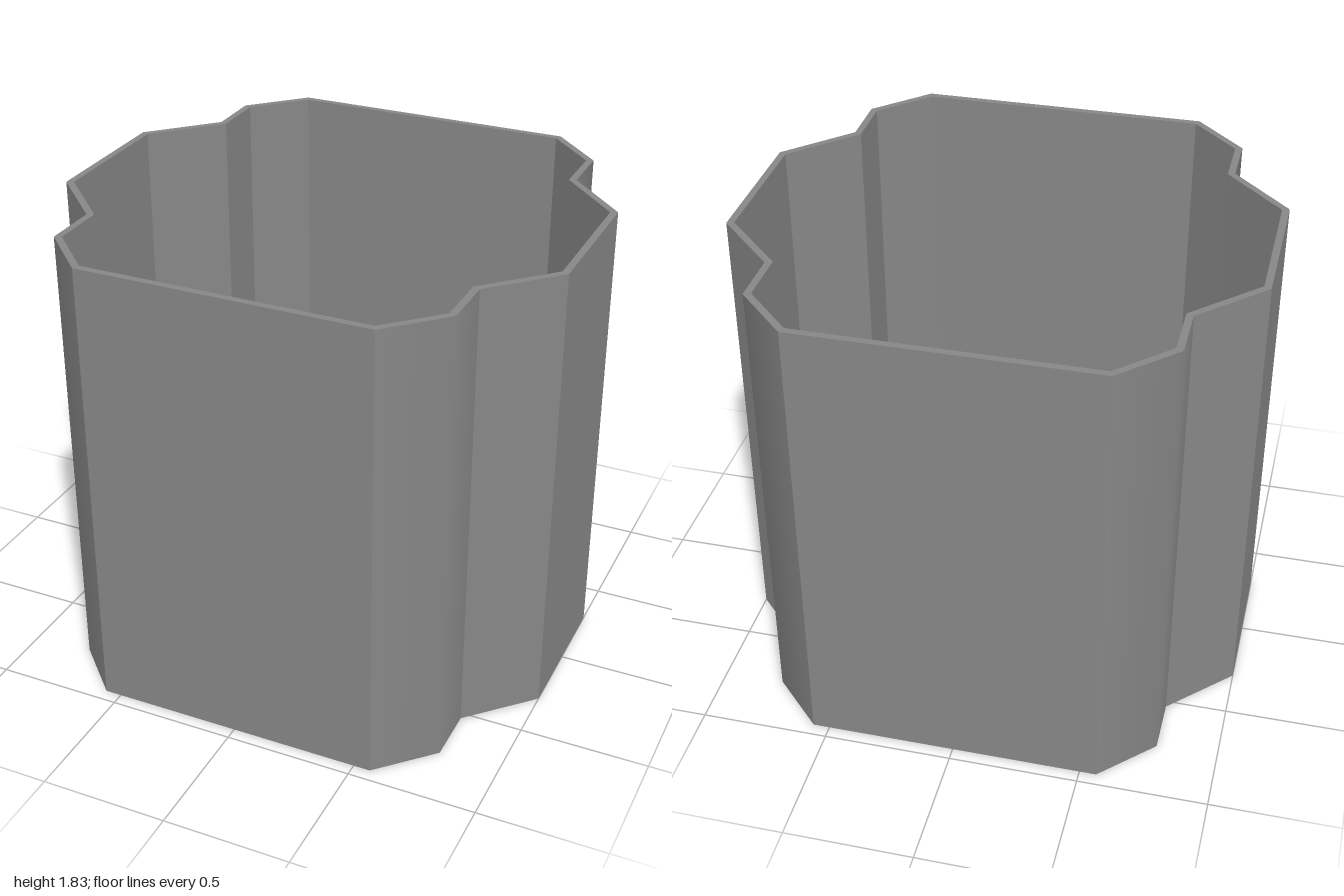
import * as THREE from 'three';

const HEIGHT = 1.83;

// One quarter of each outline as [x, z], from the front wall round to the side wall
const OUTER = [[0.565, 0.95], [0.765, 0.75], [0.765, 0.53], [1, 0.292]];
const INNER = [[0.554, 0.923], [0.738, 0.739], [0.738, 0.519], [0.973, 0.281]];

// Mirror a quarter into a full closed outline, clockwise
function outline(quarter) {
  const half = [...quarter, ...quarter.map(([x, z]) => [x, -z]).reverse()];
  const full = [...half, ...half.map(([x, z]) => [-x, z]).reverse()];
  return full.map(([x, z]) => new THREE.Vector2(x, z));
}

export function createModel() {
  const group = new THREE.Group();
  group.name = 'openSleeve';
  const grey = new THREE.MeshStandardMaterial({ color: 0x878787 });
  grey.name = 'grey';

  // Thin wall, open at the top and the bottom; the hole runs opposite to the outline
  const shape = new THREE.Shape(outline(OUTER));
  shape.holes.push(new THREE.Path(outline(INNER).reverse()));
  const geometry = new THREE.ExtrudeGeometry(shape, { depth: HEIGHT, bevelEnabled: false });
  geometry.rotateX(-Math.PI / 2);

  // Soften only the outer edge between each chamfer and its short side
  const [softX, softZ] = OUTER[1];
  const pos = geometry.attributes.position;
  const normal = geometry.attributes.normal;
  for (let i = 0; i < pos.count; i++) {
    const x = pos.getX(i), z = pos.getZ(i);
    const onEdge = Math.abs(Math.abs(x) - softX) < 0.002 && Math.abs(Math.abs(z) - softZ) < 0.002;
    if (onEdge && Math.abs(normal.getY(i)) < 0.5) {
      const a = Math.PI / 8;
      normal.setXYZ(i, Math.sign(x) * Math.cos(a), 0, Math.sign(z) * Math.sin(a));
    }
  }

  const wall = new THREE.Mesh(geometry, grey);
  wall.name = 'wall';
  group.add(wall);
  return group;
}
